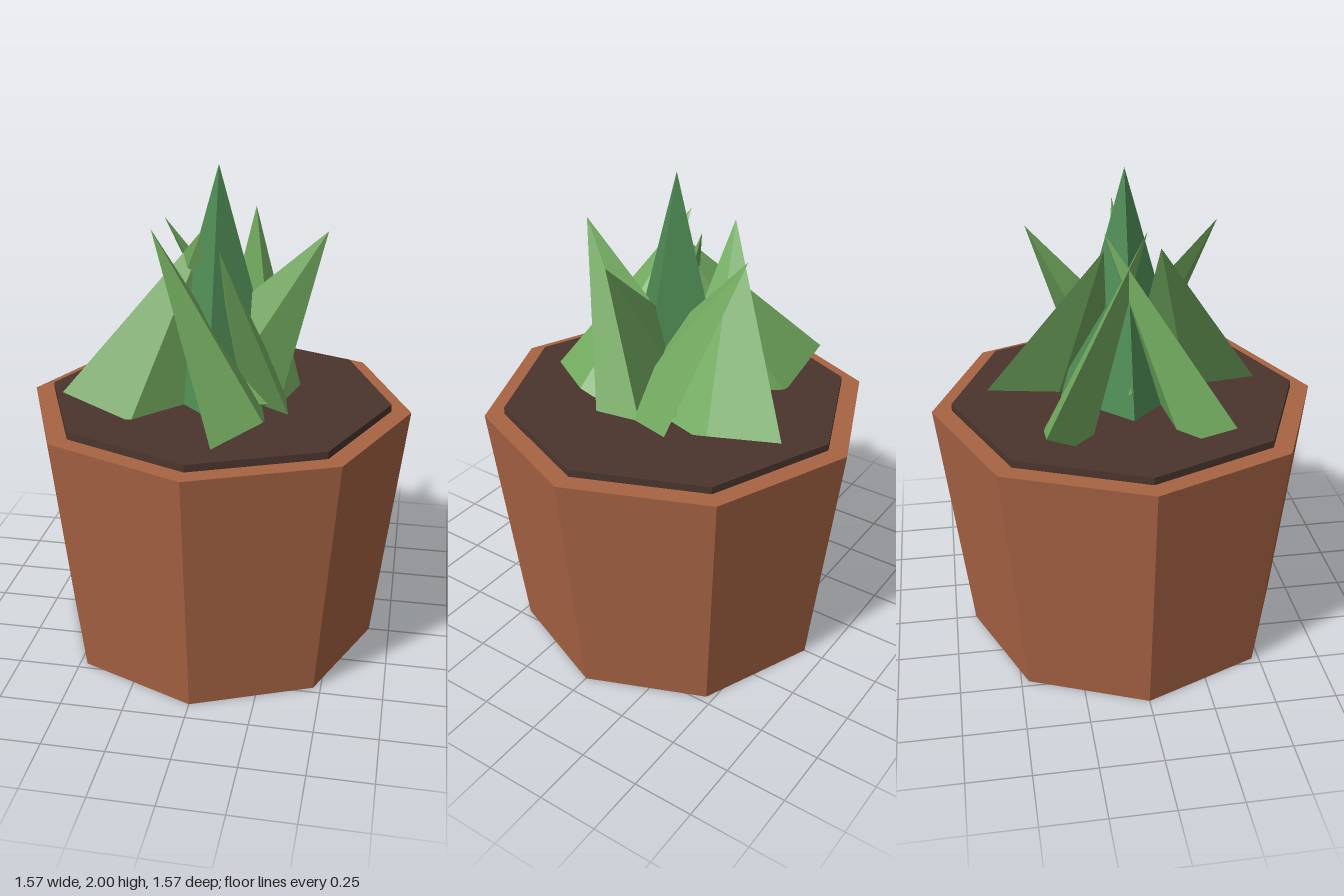
import * as THREE from 'three';

const material = (name, color) => {
  const m = new THREE.MeshStandardMaterial({ color });
  m.name = name;
  return m;
};

// Faceted normals for the low-poly look
const faceted = (geometry) => {
  const g = geometry.toNonIndexed();
  g.computeVertexNormals();
  return g;
};

export function createModel() {
  const terracotta = material('terracotta', 0xa86444);
  const soilBrown = material('soil brown', 0x4b352d);
  const leafGreen = material('leaf green', 0x72aa5f);
  const heartGreen = material('heart green', 0x4d8a53);

  const model = new THREE.Group();
  model.name = 'pottedSucculent';
  const add = (parent, name, geometry, mat, x, y, z) => {
    const mesh = new THREE.Mesh(faceted(geometry), mat);
    mesh.name = name;
    mesh.position.set(x, y, z);
    parent.add(mesh);
    return mesh;
  };

  // Octagonal pot and the soil disc standing slightly above its rim
  add(model, 'pot', new THREE.CylinderGeometry(0.785, 0.665, 1.03, 8), terracotta, 0, 0.515, 0);
  add(model, 'soil', new THREE.CylinderGeometry(0.705, 0.705, 0.06, 8), soilBrown, 0, 1.03, 0);

  // Upright central spike
  const plant = new THREE.Group();
  plant.name = 'plant';
  model.add(plant);
  add(plant, 'centreLeaf', new THREE.ConeGeometry(0.27, 0.97, 4), heartGreen, 0, 1.515, 0);

  // Seven flattened leaves in a ring; the lean direction turns twice as fast as the ring angle
  const ring = new THREE.Group();
  ring.name = 'leafRing';
  ring.rotation.y = -0.03;
  plant.add(ring);
  const up = new THREE.Vector3(0, 1, 0);
  const leafShape = new THREE.ConeGeometry(1, 0.855, 4).scale(0.27, 1, 0.1);
  for (let i = 0; i < 7; i++) {
    const a = (i * Math.PI * 2) / 7;
    const leaf = add(ring, 'leaf' + (i + 1), leafShape, leafGreen, 0.208 * Math.cos(a), 1.395, 0.208 * Math.sin(a));
    const axis = new THREE.Vector3(Math.sin(2 * a), 0, -Math.cos(2 * a));
    leaf.quaternion.setFromAxisAngle(axis, 0.546)
      .multiply(new THREE.Quaternion().setFromAxisAngle(up, -a));
  }
  return model;
}
